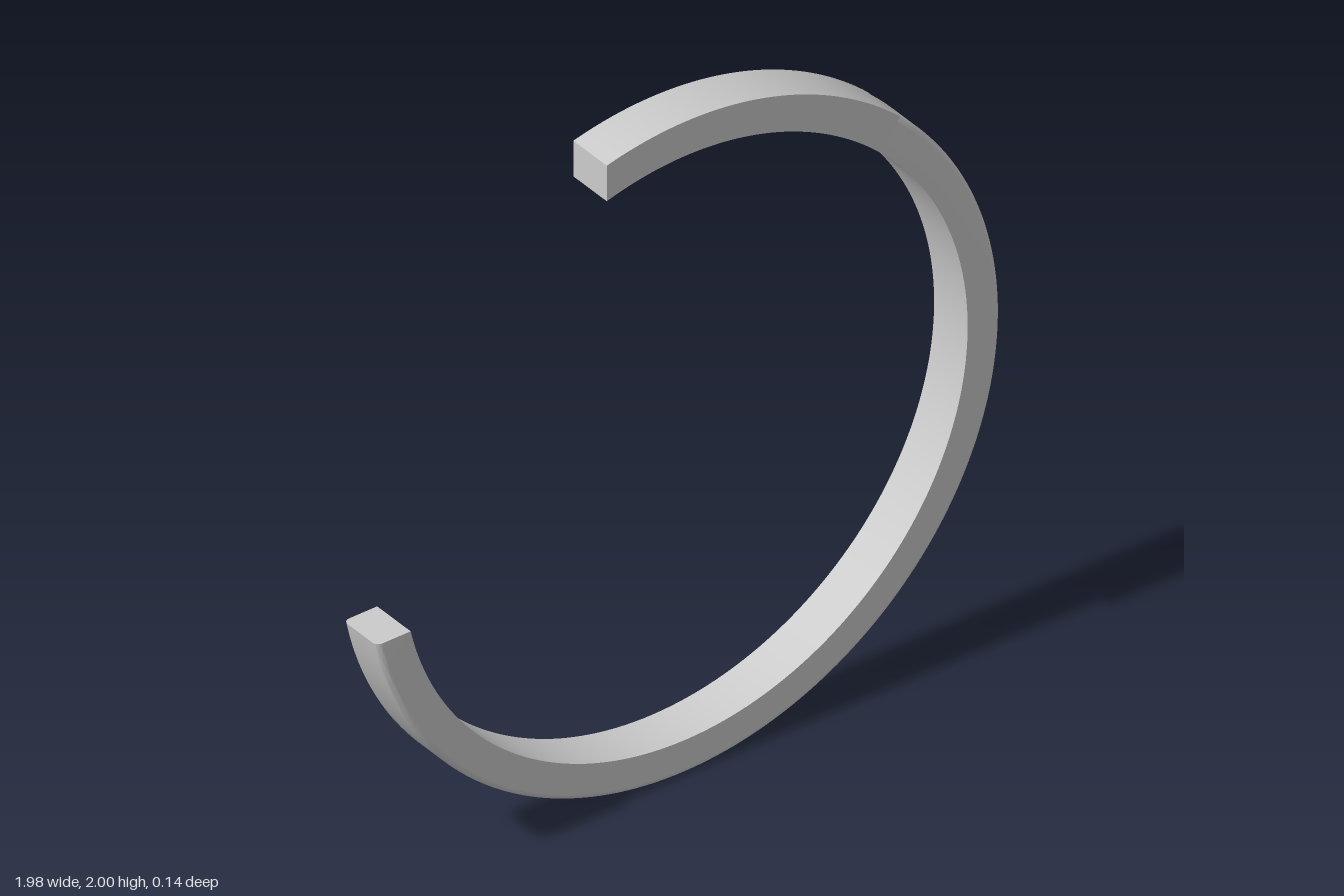
import * as THREE from 'three';
import { toCreasedNormals } from 'three/addons/utils/BufferGeometryUtils.js';

const R = 1, INNER = 0.895, HALF = 0.07, FILLET = 0.018;
const CENTRE_X = -0.01, CENTRE_Y = 1;

// Band cross-section as [radius, z], with optional rounded outer corners
function bandProfile(fillet) {
  const points = [[INNER, -HALF], [INNER, HALF]];
  if (!fillet) return [...points, [R, HALF], [R, -HALF]];
  const steps = 8;
  for (const side of [1, -1]) {
    for (let i = 0; i <= steps; i++) {
      const t = (side > 0 ? 1 - i / steps : i / steps) * Math.PI / 2;
      points.push([
        R - fillet + fillet * Math.cos(t),
        side * (HALF - fillet + fillet * Math.sin(t)),
      ]);
    }
  }
  return points;
}

// Sweep a profile clockwise; the end angles depend on radius so the cuts can be slanted
function sweepBand(profile, startAngle, endAngle, segments) {
  const positions = [], index = [], n = profile.length;
  for (let s = 0; s <= segments; s++) {
    for (const [r, z] of profile) {
      const a = THREE.MathUtils.lerp(startAngle(r), endAngle(r), s / segments);
      positions.push(r * Math.cos(a), r * Math.sin(a), z);
    }
  }
  for (let s = 0; s < segments; s++) {
    for (let i = 0; i < n; i++) {
      const j = (i + 1) % n, a = s * n, b = a + n;
      index.push(a + i, b + i, a + j, a + j, b + i, b + j);
    }
  }
  // Flat end caps
  const last = segments * n;
  for (let i = 1; i < n - 1; i++) {
    index.push(0, i, i + 1, last, last + i + 1, last + i);
  }
  const geometry = new THREE.BufferGeometry();
  geometry.setAttribute('position', new THREE.Float32BufferAttribute(positions, 3));
  geometry.setIndex(index);
  return toCreasedNormals(geometry, 0.5);
}

export function createModel() {
  const group = new THREE.Group();
  group.name = 'openRing';
  const material = new THREE.MeshStandardMaterial({ color: 0xcccccc });

  const upperCut = (r) => Math.acos(-0.25 / r);            // vertical cut
  const seam = () => THREE.MathUtils.degToRad(47);         // where the rounding starts
  const lowerCut = (r) => -Math.PI + Math.asin(0.2 / r);   // horizontal cut

  const parts = [
    ['sharpEdgedBand', bandProfile(0), upperCut, seam, 40],
    ['roundedEdgeBand', bandProfile(FILLET), seam, lowerCut, 140],
  ];
  for (const [name, profile, start, end, segments] of parts) {
    const mesh = new THREE.Mesh(sweepBand(profile, start, end, segments), material);
    mesh.name = name;
    mesh.position.set(CENTRE_X, CENTRE_Y, 0);
    group.add(mesh);
  }
  return group;
}
